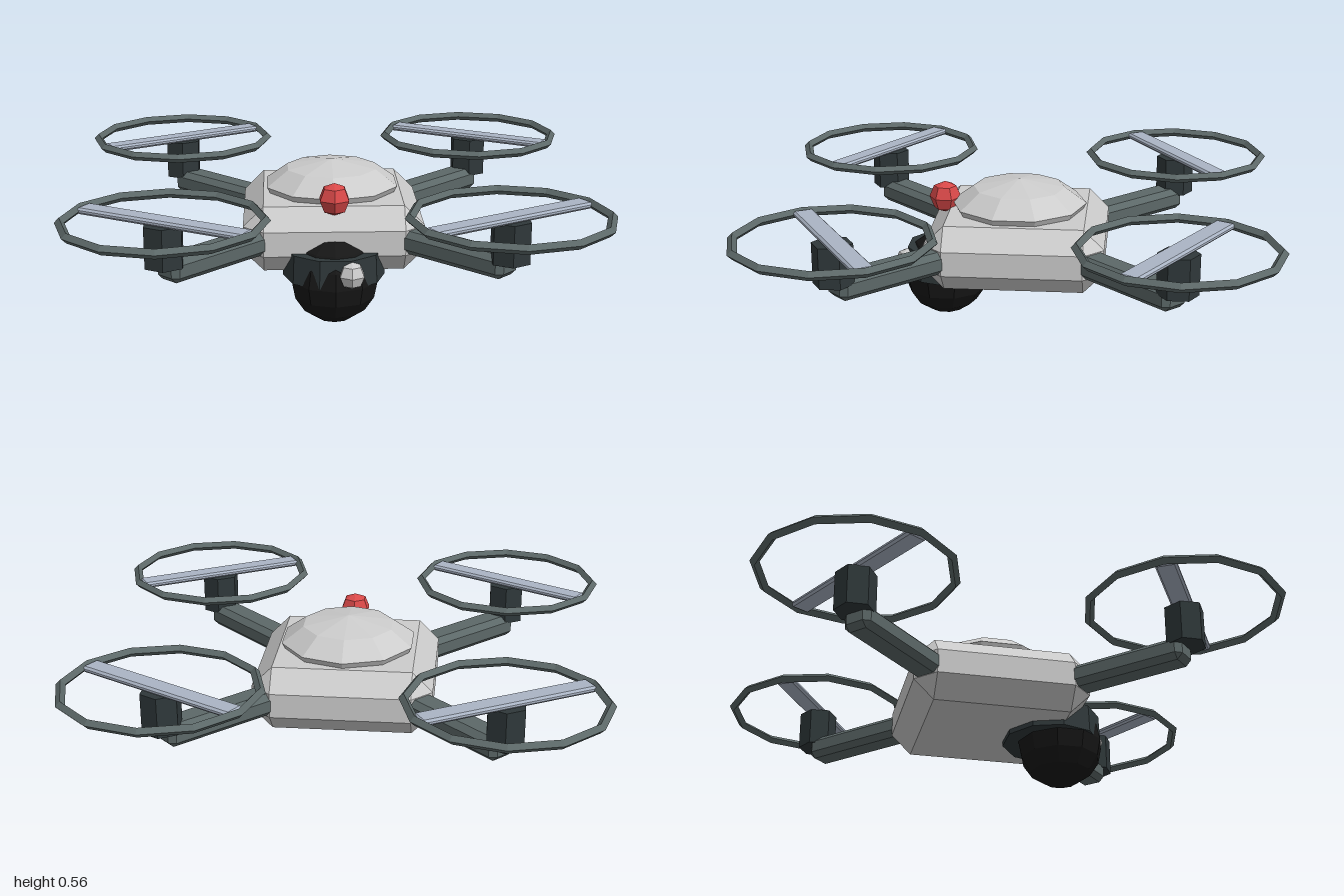
import * as THREE from 'three';
import { ConvexGeometry } from 'three/addons/geometries/ConvexGeometry.js';

const mat = (color) => new THREE.MeshStandardMaterial({ color, flatShading: true });
const GREY = mat(0xcccccc), SLATE = mat(0x5c6868), DARK = mat(0x2f383a);
const BLACK = mat(0x161616), BLADE = mat(0xaab4c4), RED = mat(0xd84848);

function add(parent, name, geometry, material, x = 0, y = 0, z = 0) {
  const mesh = new THREE.Mesh(geometry, material);
  mesh.name = name;
  mesh.position.set(x, y, z);
  parent.add(mesh);
  return mesh;
}

// Box with all twelve edges cut at 45 degrees by c
function chamferBox(w, h, d, c) {
  const points = [];
  const half = [w / 2, h / 2, d / 2];
  for (const sx of [-1, 1]) for (const sy of [-1, 1]) for (const sz of [-1, 1]) {
    for (let axis = 0; axis < 3; axis++) {
      const p = half.map((v, i) => (i === axis ? v : v - c));
      points.push(new THREE.Vector3(sx * p[0], sy * p[1], sz * p[2]));
    }
  }
  return new ConvexGeometry(points);
}

// Faceted ball with a vertex facing the front
const ball = (r, sides, rings) => new THREE.SphereGeometry(r, sides, rings).rotateY(Math.PI / 2);

export function createModel() {
  const model = new THREE.Group();
  model.name = 'quadcopter';

  // Hull and dome
  add(model, 'body', chamferBox(0.69, 0.252, 0.69, 0.078), GREY, 0, 0.319, 0);
  const domeProfile = [[0.245, 0.43], [0.266, 0.468], [0.18, 0.53], [0, 0.562]]
    .map(([r, y]) => new THREE.Vector2(r, y));
  add(model, 'dome', new THREE.LatheGeometry(domeProfile, 10), GREY);
  add(model, 'beacon', ball(0.063, 6, 4), RED, 0, 0.48, 0.293);

  // Camera under the nose
  const camera = new THREE.Group();
  camera.name = 'camera';
  model.add(camera);
  add(camera, 'cameraMount', new THREE.CylinderGeometry(0.19, 0.195, 0.11, 10).rotateY(Math.PI / 10),
    DARK, 0, 0.228, 0.258);
  add(camera, 'cameraBall', ball(0.17, 10, 8), BLACK, 0, 0.17, 0.293);
  add(camera, 'lens', ball(0.052, 6, 4), GREY, 0.06, 0.227, 0.437);

  // Four arms, each with a motor, blade and guard ring
  const armGeo = chamferBox(0.117, 0.09, 0.7, 0.022);
  const motorGeo = new THREE.CylinderGeometry(0.077, 0.077, 0.155, 6);
  const ringGeo = new THREE.TorusGeometry(0.363, 0.018, 4, 12).rotateX(Math.PI / 2);
  const bladeGeo = chamferBox(0.7, 0.024, 0.08, 0.008);
  for (const sx of [-1, 1]) for (const sz of [-1, 1]) {
    const unit = new THREE.Group();
    unit.name = (sz > 0 ? 'front' : 'back') + (sx > 0 ? 'Left' : 'Right') + 'Rotor';
    unit.position.set(sx * 0.617, 0, sz * 0.617);
    model.add(unit);
    const arm = add(unit, 'arm', armGeo, SLATE, -sx * 0.247, 0.318, -sz * 0.247);
    arm.rotation.y = sx * sz * Math.PI / 4;
    add(unit, 'motor', motorGeo, DARK, 0, 0.413, 0);
    add(unit, 'guardRing', ringGeo, SLATE, 0, 0.5, 0);
    add(unit, 'blade', bladeGeo, BLADE, 0, 0.5, 0).rotation.y = sx * sz * Math.PI / 6;
  }
  return model;
}
